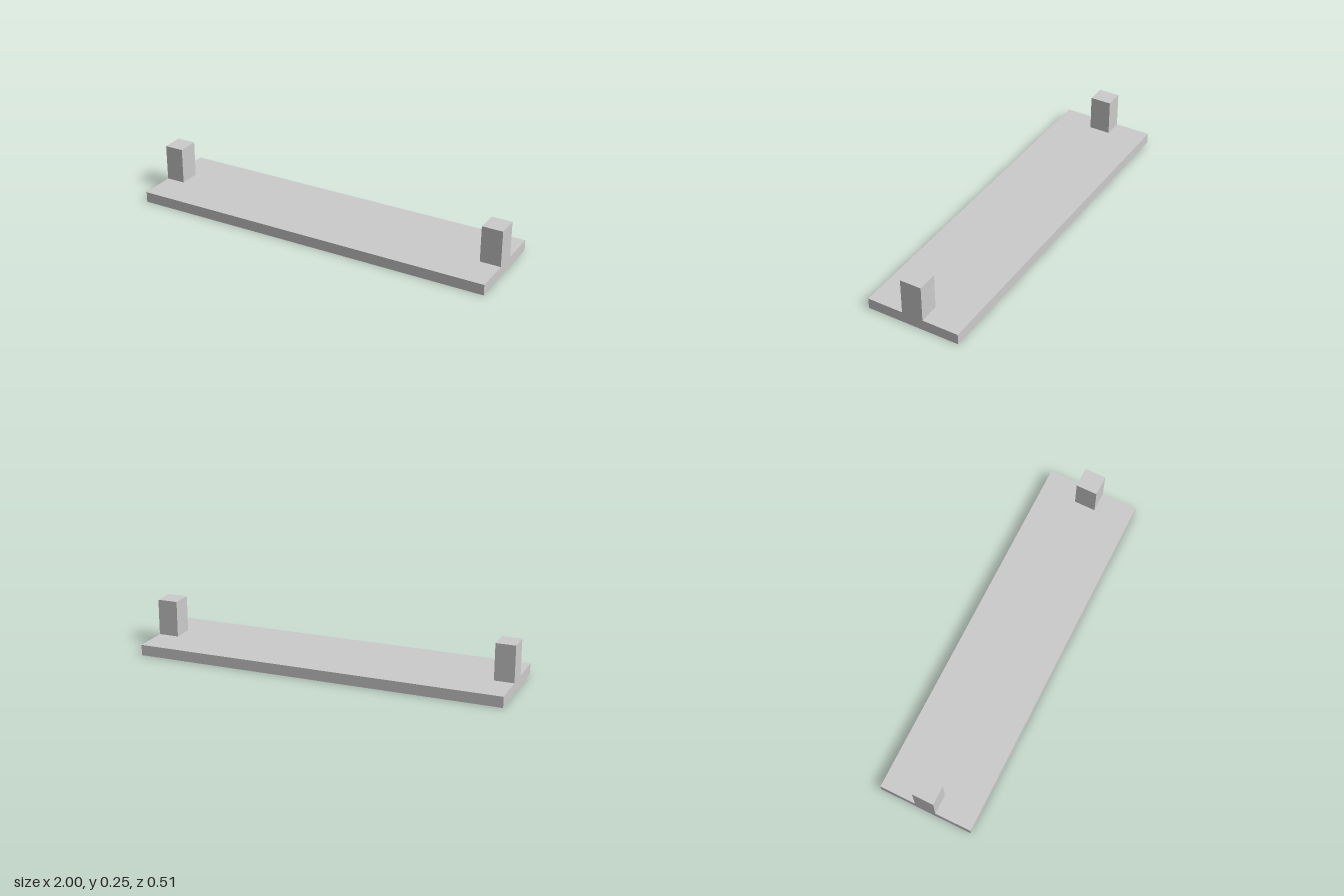
import * as THREE from 'three';

export function createModel() {
  const group = new THREE.Group();
  const material = new THREE.MeshStandardMaterial({ color: 0xcccccc, flatShading: true });
  const add = (name, geometry, x = 0, y = 0, z = 0) => {
    const mesh = new THREE.Mesh(geometry, material);
    mesh.name = name;
    mesh.position.set(x, y, z);
    group.add(mesh);
  };

  const thickness = 0.058, halfDepth = 0.257, height = 0.255;
  const radius = 0.17, recess = 0.05, segments = 32, rings = 5;
  const dimpleX = [0.71, 0.22, -0.227, -0.674];

  // Plate top and sides: a box without its bottom face
  const plate = new THREE.BoxGeometry(2, thickness, halfDepth * 2);
  const index = Array.from(plate.index.array);
  index.splice(18, 6);
  plate.setIndex(index);
  plate.clearGroups();
  add('plate', plate, 0, thickness / 2);

  // Underside with round openings
  const outline = new THREE.Shape([
    new THREE.Vector2(-1, -halfDepth), new THREE.Vector2(1, -halfDepth),
    new THREE.Vector2(1, halfDepth), new THREE.Vector2(-1, halfDepth),
  ]);
  for (const x of dimpleX) {
    outline.holes.push(new THREE.Path().absarc(x, 0, radius, 0, Math.PI * 2, true));
  }
  add('underside', new THREE.ShapeGeometry(outline, segments).rotateX(Math.PI / 2));

  // Shallow spherical recesses, profiled from crown to rim
  const sphere = (radius ** 2 + recess ** 2) / (2 * recess);
  const rimAngle = Math.asin(radius / sphere);
  const profile = [];
  for (let i = 0; i <= rings; i++) {
    const a = rimAngle * i / rings;
    profile.push(new THREE.Vector2(sphere * Math.sin(a), sphere * Math.cos(a) - sphere + recess));
  }
  const dimple = new THREE.LatheGeometry(profile, segments);
  dimpleX.forEach((x, i) => add(`dimple${i + 1}`, dimple, x));

  // Upright end posts, flush with the plate ends
  const postHeight = height - thickness;
  for (const [name, side, width] of [['leftPost', 1, 0.112], ['rightPost', -1, 0.105]]) {
    add(name, new THREE.BoxGeometry(width, postHeight, 0.117),
      side * (1 - width / 2), thickness + postHeight / 2);
  }

  return group;
}
